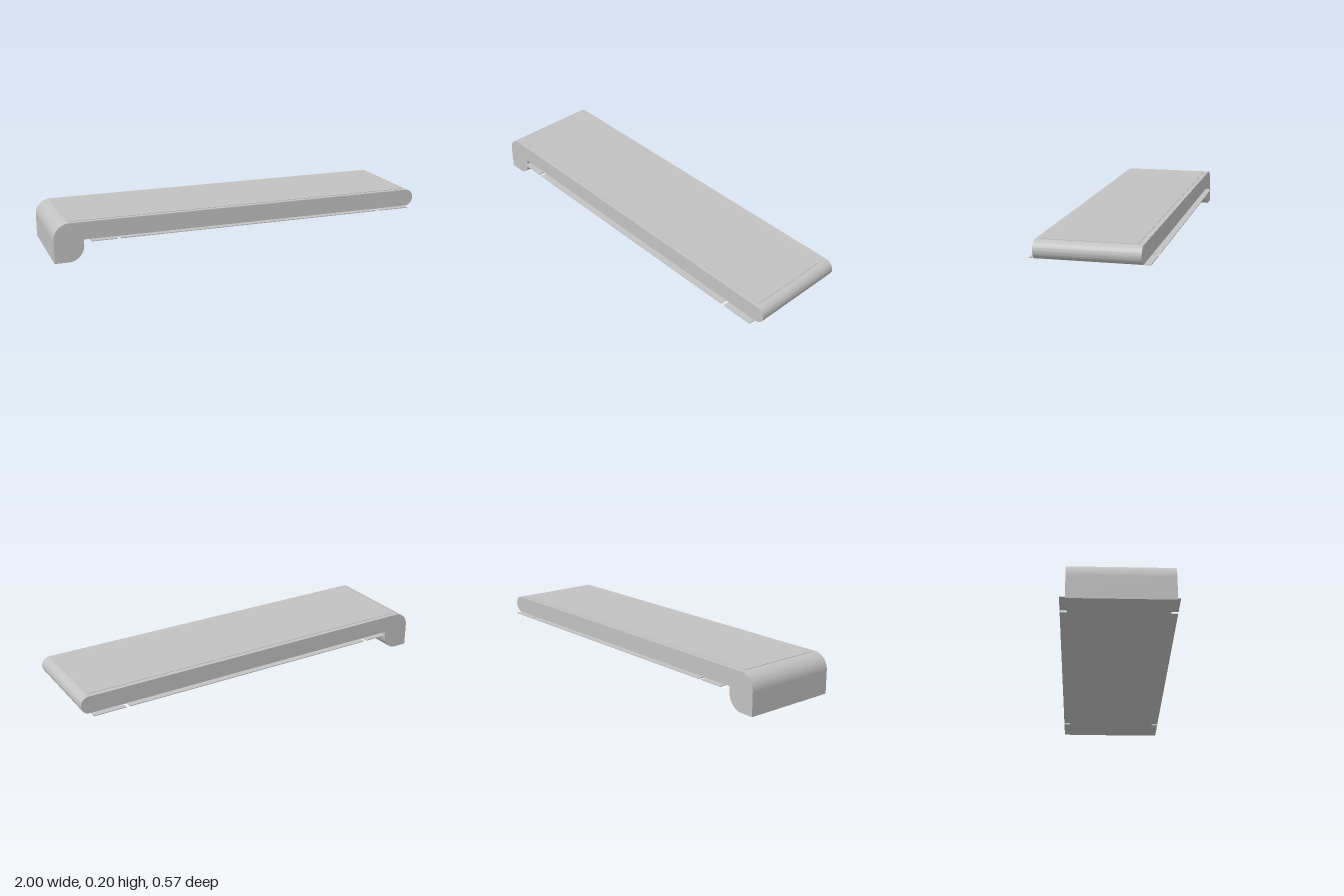
import * as THREE from 'three';
import { toCreasedNormals } from 'three/addons/utils/BufferGeometryUtils.js';

const grey = new THREE.MeshStandardMaterial({ color: 0xc2c2c2 });
grey.name = 'plain grey';

const HALF_WIDTH = 0.254;

function add(group, name, geometry) {
  const mesh = new THREE.Mesh(geometry, grey);
  mesh.name = name;
  group.add(mesh);
  return mesh;
}

// Side profile: long board with a round nose and a hooked foot
function bodyGeometry() {
  const top = 0.2, under = 0.11, bend = 0.08;
  const nose = (top - under) / 2;
  const s = new THREE.Shape();
  s.moveTo(-1, 0);
  s.lineTo(-0.85 - bend, 0);
  s.absarc(-0.85 - bend, bend, bend, -Math.PI / 2, 0, false);
  s.lineTo(-0.85, under);
  s.lineTo(1 - nose, under);
  s.absarc(1 - nose, under + nose, nose, -Math.PI / 2, Math.PI / 2, false);
  s.lineTo(-1 + bend, top);
  s.absarc(-1 + bend, top - bend, bend, Math.PI / 2, Math.PI, false);
  s.closePath();
  const g = new THREE.ExtrudeGeometry(s, { depth: HALF_WIDTH * 2, bevelEnabled: false, curveSegments: 24 });
  g.translate(0, 0, -HALF_WIDTH);
  return toCreasedNormals(g, 0.6);
}

// Thin underside sheet, notched along both long edges
function sheetGeometry() {
  const outer = 0.287, inner = 0.25, thickness = 0.004;
  const edge = [
    [-0.82, outer], [-0.69, outer], [-0.69, inner], [-0.67, inner], [-0.67, outer],
    [0.76, outer], [0.76, inner], [0.78, inner], [0.78, outer], [0.95, outer],
  ];
  const mirrored = edge.map(([x, z]) => [x, -z]).reverse();
  const s = new THREE.Shape([...edge, ...mirrored].map(([x, z]) => new THREE.Vector2(x, z)));
  const g = new THREE.ExtrudeGeometry(s, { depth: thickness, bevelEnabled: false });
  g.rotateX(-Math.PI / 2);
  g.translate(0, 0.106, 0);
  return g;
}

export function createModel() {
  const group = new THREE.Group();
  group.name = 'hookedBoard';

  add(group, 'body', bodyGeometry());
  add(group, 'undersideSheet', sheetGeometry());

  // Slightly raised panel on the top face
  add(group, 'topPanel', new THREE.BoxGeometry(1.87, 0.004, 0.456)).position.set(0.015, 0.2, 0);

  return group;
}
